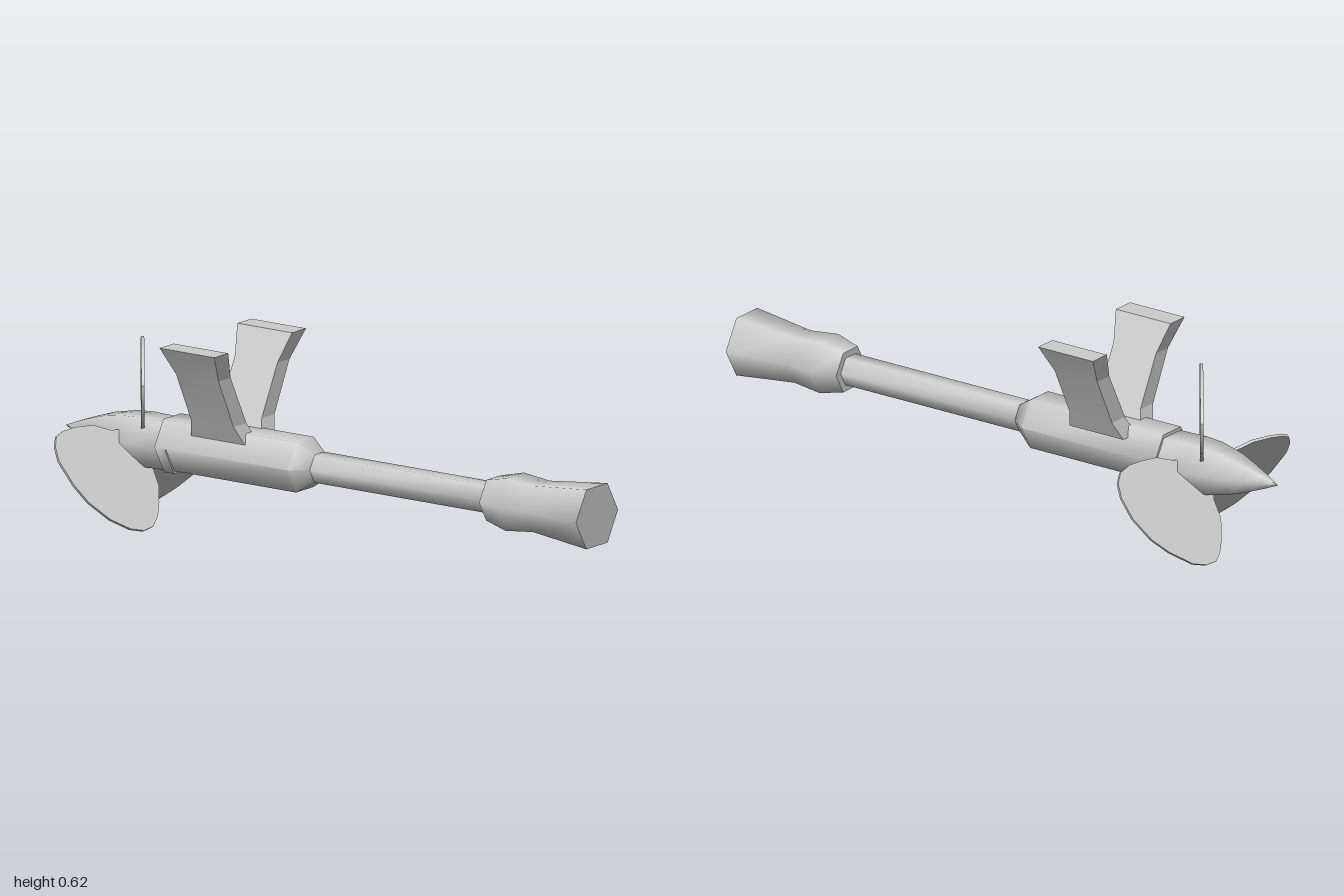
import * as THREE from 'three';
import { toCreasedNormals } from 'three/addons/utils/BufferGeometryUtils.js';

const material = new THREE.MeshStandardMaterial({ color: 0xcccccc });

function part(name, geometry, crease = 0.6) {
  const mesh = new THREE.Mesh(toCreasedNormals(geometry, crease), material);
  mesh.name = name;
  return mesh;
}

// Six-sided turned part along x; profile is [x, corner radius] pairs
function turned(name, axisY, profile) {
  const points = profile.map(([x, r]) => new THREE.Vector2(r, x));
  const geometry = new THREE.LatheGeometry(points, 6);
  geometry.rotateZ(-Math.PI / 2);
  const mesh = part(name, geometry, 1.1);
  mesh.position.y = axisY;
  return mesh;
}

// Flat pitched blade; outline is [chord, radius] seen along the shaft
function blade() {
  const pitch = Math.PI - Math.atan2(0.8, 0.6);
  const outline = [
    [0.06, 0.04], [0.074, 0.061], [0.117, 0.094], [0.148, 0.145], [0.165, 0.185],
    [0.169, 0.214], [0.155, 0.245], [0.126, 0.274], [0.06, 0.3], [0.007, 0.309],
    [-0.061, 0.3], [-0.114, 0.274], [-0.143, 0.244], [-0.154, 0.21], [-0.147, 0.171],
    [-0.129, 0.132], [-0.103, 0.088], [-0.068, 0.059], [-0.05, 0.04],
  ];
  const shape = new THREE.Shape(outline.map(([t, r]) => new THREE.Vector2(t / 0.8, r)));
  const depth = 0.01;
  const geometry = new THREE.ExtrudeGeometry(shape, { depth, bevelEnabled: false });
  geometry.translate(0, 0, -depth / 2);
  geometry.rotateY(pitch);
  return part('blade', geometry);
}

// Slanted strut with flared ends: [y, inner z, outer z, half width] from top to bottom
function strut() {
  const sections = [
    [0.615, 0.162, 0.233, 0.103],
    [0.527, 0.119, 0.18, 0.08],
    [0.37, 0.039, 0.104, 0.08],
    [0.312, 0.01, 0.076, 0.101],
  ];
  const geometry = new THREE.BoxGeometry(1, 1, 1, 1, 3, 1);
  const p = geometry.attributes.position;
  for (let i = 0; i < p.count; i++) {
    const [y, inner, outer, half] = sections[Math.round((0.5 - p.getY(i)) * 3)];
    p.setXYZ(i, Math.sign(p.getX(i)) * half, y, p.getZ(i) > 0 ? outer : inner);
  }
  return part('strut', geometry, 0.2);
}

export function createModel() {
  const model = new THREE.Group();
  model.name = 'propellerShaft';
  const shaftY = 0.264, hubY = 0.257;

  // Shaft line
  model.add(
    turned('bearingBarrel', shaftY, [[-0.6, 0], [-0.6, 0.09], [-0.1, 0.09], [-0.045, 0.05], [-0.045, 0]]),
    turned('shaft', shaftY, [[-0.1, 0.05], [0.63, 0.05]]),
    turned('coupling', shaftY, [[0.61, 0], [0.61, 0.073], [0.69, 0.094], [0.79, 0.083], [1, 0.107], [1, 0]]),
    turned('collar', hubY, [[-0.596, 0], [-0.596, 0.092], [-0.558, 0.092], [-0.558, 0]]),
    turned('noseCone', hubY, [[-1, 0], [-0.95, 0.023], [-0.9, 0.044], [-0.84, 0.066], [-0.76, 0.084],
      [-0.7, 0.088], [-0.58, 0.085], [-0.58, 0]]),
  );

  // Three blades around the hub
  const propeller = new THREE.Group();
  propeller.name = 'propeller';
  propeller.position.set(-0.711, hubY, 0);
  for (let i = 0; i < 3; i++) {
    const b = blade();
    b.rotation.x = (i * Math.PI * 2) / 3;
    propeller.add(b);
  }
  model.add(propeller);

  // Pair of struts in a V
  const bracket = new THREE.Group();
  bracket.name = 'strutBracket';
  bracket.position.set(-0.379, 0, -0.01);
  for (let i = 0; i < 2; i++) {
    const s = strut();
    s.rotation.y = i * Math.PI;
    bracket.add(s);
  }
  model.add(bracket);

  return model;
}
